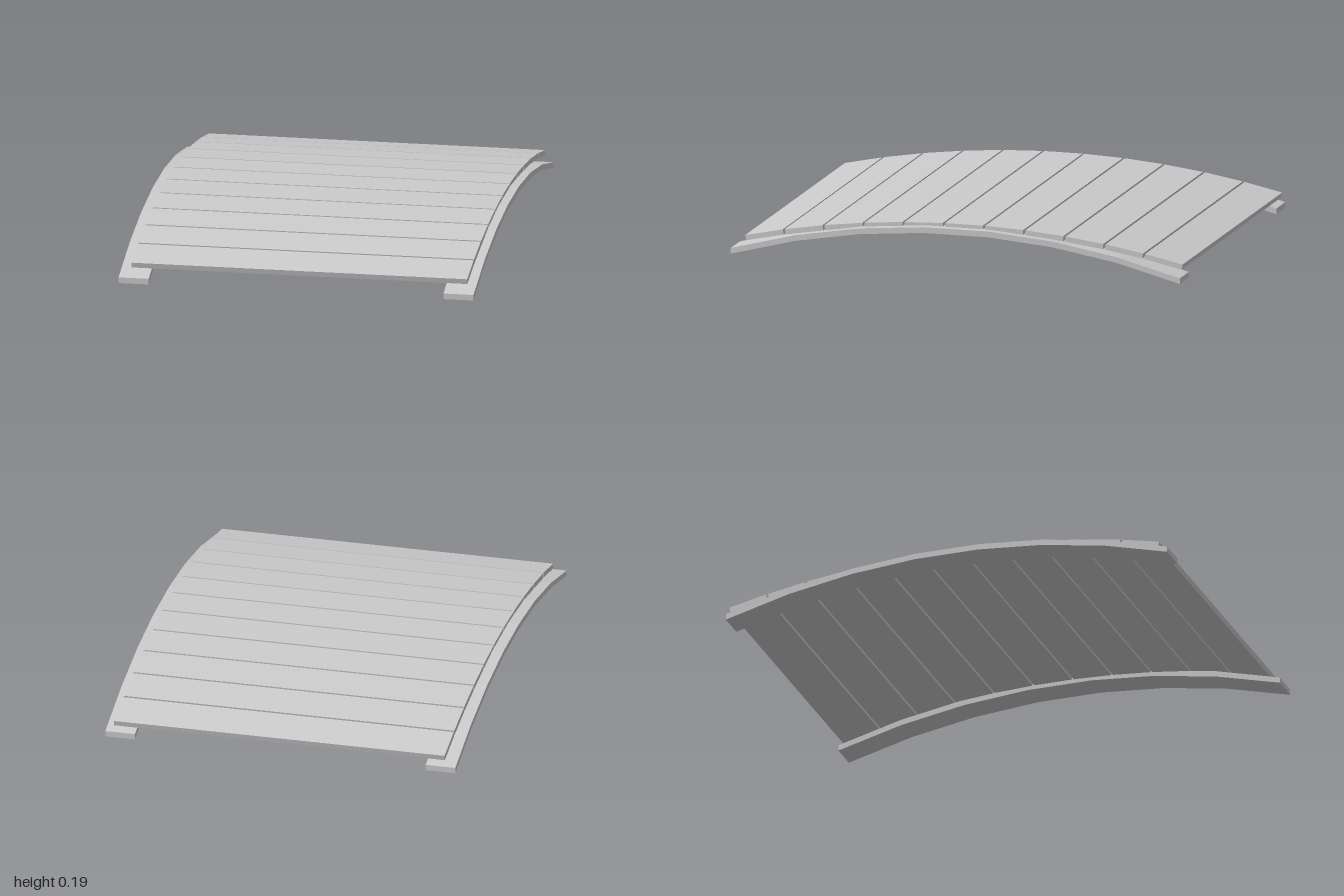
import * as THREE from 'three';

const material = new THREE.MeshStandardMaterial({ color: 0xcccccc, flatShading: true });

// Curved side rail: seven straight segments approximating an arc
function railGeometry(width) {
  const radius = 3.4, thickness = 0.025, segments = 7;
  const bottom = [];
  for (let i = 0; i <= segments; i++) {
    const z = -1 + (2 * i) / segments;
    const y = Math.sqrt(radius * radius - z * z) - Math.sqrt(radius * radius - 1);
    bottom.push(new THREE.Vector2(z, y));
  }
  const top = bottom.map((p) => new THREE.Vector2(p.x, p.y + thickness)).reverse();
  const geometry = new THREE.ExtrudeGeometry(new THREE.Shape([...bottom, ...top]), {
    depth: width, bevelEnabled: false,
  });
  geometry.translate(0, 0, -width / 2);
  geometry.rotateY(-Math.PI / 2);
  return geometry;
}

export function createModel() {
  const group = new THREE.Group();

  // Two rails that carry the deck
  const rail = railGeometry(0.13);
  for (const [name, side] of [['leftRail', 1], ['rightRail', -1]]) {
    const mesh = new THREE.Mesh(rail, material);
    mesh.name = name;
    mesh.position.x = side * 0.702;
    group.add(mesh);
  }

  // Eleven planks laid along a slightly flatter arc, shifted toward the back
  const deck = new THREE.Group();
  deck.name = 'deck';
  const plank = new THREE.BoxGeometry(1.45, 0.023, 0.17);
  const radius = 4.28, step = 0.0418;
  for (let i = -5; i <= 5; i++) {
    const angle = i * step;
    const mesh = new THREE.Mesh(plank, material);
    mesh.name = `plank${i + 6}`;
    mesh.position.set(0.005, 0.1765 - radius * (1 - Math.cos(angle)), -0.027 + radius * Math.sin(angle));
    mesh.rotation.x = angle;
    deck.add(mesh);
  }
  group.add(deck);

  return group;
}
